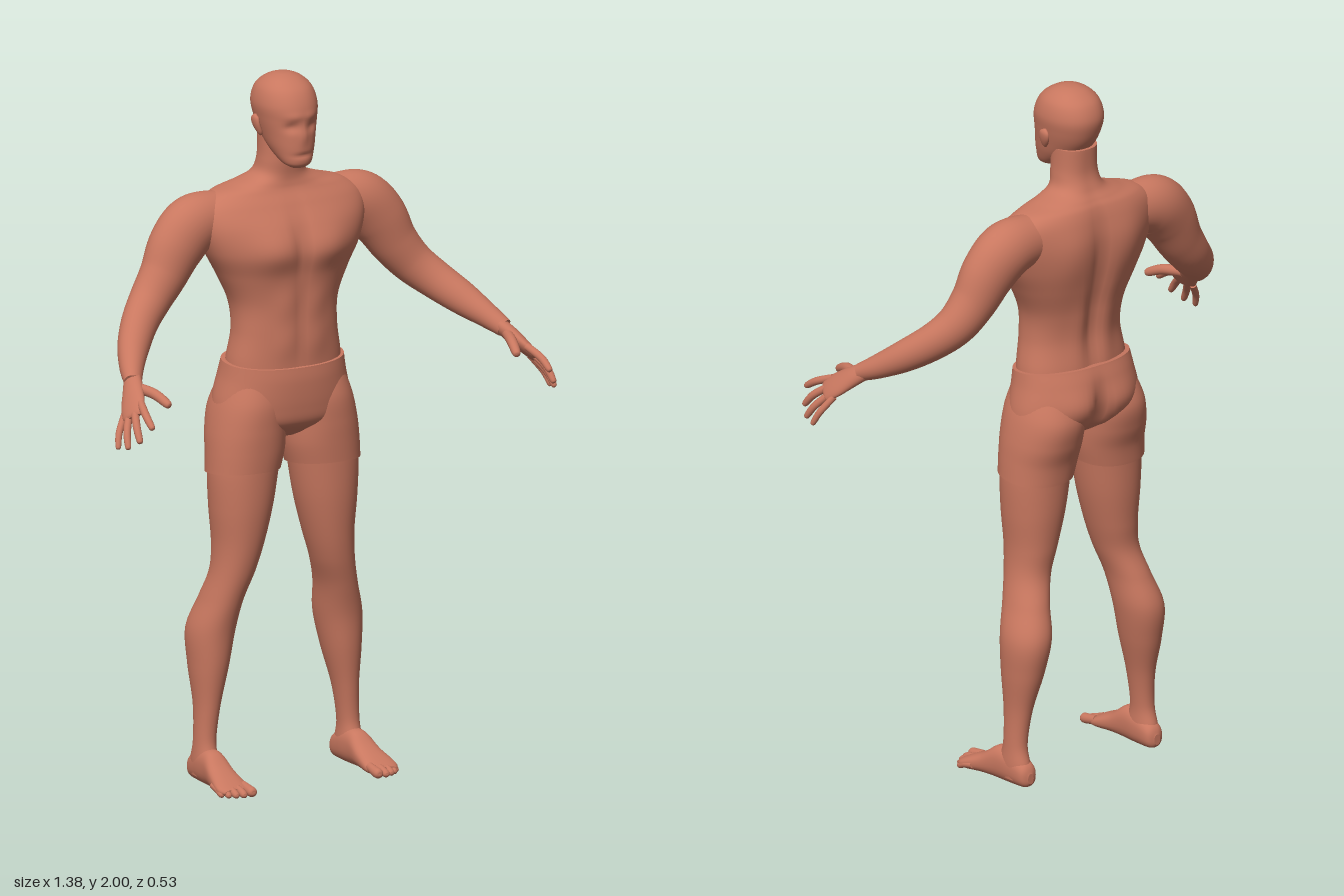
import * as THREE from 'three';

const V = (x, y, z) => new THREE.Vector3(x, y, z);
const skin = new THREE.MeshStandardMaterial({ color: 0xc8775f });
skin.name = 'skin';

// Catmull-Rom blend through rows of numbers
function sample(rows, t) {
  const n = rows.length - 1, i = Math.min(Math.floor(t * n), n - 1), s = t * n - i;
  const a = rows[Math.max(i - 1, 0)], b = rows[i], c = rows[i + 1], d = rows[Math.min(i + 2, n)];
  return b.map((_, k) => b[k] + 0.5 * s * (c[k] - a[k]
    + s * (2 * a[k] - 5 * b[k] + 4 * c[k] - d[k] + s * (3 * (b[k] - c[k]) + d[k] - a[k]))));
}

// Horizontal oval rings; row = [y, centreX, halfWidth, zFront, zBack]
function column(rows, { segs = 48, steps = 8, power = 1, warp } = {}) {
  const rings = [], count = (rows.length - 1) * steps;
  const bend = (v) => Math.sign(v) * Math.abs(v) ** power;
  for (let i = 0; i <= count; i++) {
    const [y, cx, rx, zf, zb] = sample(rows, i / count);
    const ring = [];
    for (let j = 0; j < segs; j++) {
      const a = (j / segs) * Math.PI * 2;
      const p = V(cx + rx * bend(Math.cos(a)), y, (zf + zb) / 2 + (zf - zb) / 2 * bend(Math.sin(a)));
      if (warp) warp(p, Math.max(0, Math.sin(a)), Math.max(0, -Math.sin(a)));
      ring.push(p);
    }
    rings.push(ring);
  }
  return rings;
}

// Oval rings along a path; row = [x, y, z, radius along ref, radius across]
function limb(rows, ref, segs = 32, steps = 8) {
  const rings = [], count = (rows.length - 1) * steps;
  const at = (t) => V(...sample(rows, t).slice(0, 3));
  for (let i = 0; i <= count; i++) {
    const t = i / count, [x, y, z, ru, rv] = sample(rows, t);
    const dir = at(Math.min(1, t + 0.01)).sub(at(Math.max(0, t - 0.01))).normalize();
    const u = ref.clone().addScaledVector(dir, -ref.dot(dir)).normalize();
    const v = dir.clone().cross(u);
    rings.push(Array.from({ length: segs }, (_, j) => {
      const a = (j / segs) * Math.PI * 2;
      return V(x, y, z).addScaledVector(u, ru * Math.cos(a)).addScaledVector(v, rv * Math.sin(a));
    }));
  }
  return rings;
}

// Closed mesh over rings, faces turned outward, with crisp end caps
function cover(name, rings) {
  const n = rings[0].length, pts = rings.flat(), index = [];
  for (let i = 0; i < rings.length - 1; i++) {
    for (let j = 0; j < n; j++) {
      const a = i * n + j, b = i * n + (j + 1) % n;
      index.push(a, a + n, b, b, a + n, b + n);
    }
  }
  [rings[0], rings[rings.length - 1]].forEach((ring, end) => {
    const start = pts.length;
    pts.push(...ring, ring.reduce((s, p) => s.add(p), V(0, 0, 0)).divideScalar(n));
    for (let j = 0; j < n; j++) {
      const a = start + j, b = start + (j + 1) % n;
      index.push(start + n, end ? b : a, end ? a : b);
    }
  });
  let volume = 0;
  for (let k = 0; k < index.length; k += 3) {
    volume += pts[index[k]].dot(pts[index[k + 1]].clone().cross(pts[index[k + 2]]));
  }
  if (volume < 0) index.reverse();
  const geo = new THREE.BufferGeometry().setFromPoints(pts);
  geo.setIndex(index);
  geo.computeVertexNormals();
  const mesh = new THREE.Mesh(geo, skin);
  mesh.name = name;
  return mesh;
}

// Soft mound centred at (cx, cy), mirrored in x
const mound = (p, cx, cy, sx, sy) =>
  Math.exp(-(((Math.abs(p.x) - cx) / sx) ** 2) - ((p.y - cy) / sy) ** 2);

export function createModel() {
  const model = new THREE.Group();
  model.name = 'figure';
  const add = (name, rings) => model.add(cover(name, rings));
  const pair = (name, rings) => {
    add('left' + name, rings);
    add('right' + name, rings.map((r) => r.map((p) => V(-p.x, p.y, p.z))));
  };

  // Torso and neck, with chest, belly line, shoulder blades and spine groove
  add('torso', column([
    [1.14, 0, 0.172, -0.012, -0.225], [1.2, 0, 0.168, -0.012, -0.218], [1.28, 0, 0.155, -0.01, -0.21],
    [1.36, 0, 0.16, -0.01, -0.222], [1.44, 0, 0.195, -0.004, -0.24], [1.51, 0, 0.232, 0.003, -0.25],
    [1.58, 0, 0.255, -0.012, -0.252], [1.635, 0, 0.25, -0.042, -0.245], [1.67, 0, 0.205, -0.065, -0.235],
    [1.69, 0, 0.135, -0.072, -0.222], [1.715, 0, 0.078, -0.074, -0.205], [1.76, 0, 0.064, -0.07, -0.19],
    [1.83, 0, 0.062, -0.07, -0.19],
  ], {
    segs: 72, power: 0.88,
    warp(p, front, back) {
      p.z += front * (0.02 * mound(p, 0.085, 1.52, 0.075, 0.06) - 0.012 * mound(p, 0, 1.54, 0.02, 0.09)
        - 0.005 * mound(p, 0, 1.32, 0.014, 0.12) + 0.006 * mound(p, 0.05, 1.36, 0.035, 0.05)
        + 0.005 * mound(p, 0.05, 1.25, 0.035, 0.05));
      p.z -= back * (0.016 * mound(p, 0.1, 1.56, 0.07, 0.1) - 0.02 * mound(p, 0, 1.42, 0.025, 0.2)
        + 0.006 * mound(p, 0.05, 1.28, 0.03, 0.1));
    },
  }));

  // Head with brow, eye hollows and nose ridge
  add('head', column([
    [1.748, 0, 0.022, -0.012, -0.05], [1.762, 0, 0.042, 0, -0.085], [1.8, 0, 0.06, 0.003, -0.15],
    [1.84, 0, 0.071, 0.002, -0.188], [1.88, 0, 0.08, 0, -0.208], [1.92, 0, 0.085, -0.004, -0.215],
    [1.96, 0, 0.075, -0.024, -0.2], [1.985, 0, 0.052, -0.055, -0.17], [1.997, 0, 0.025, -0.085, -0.14],
    [2, 0, 0.003, -0.108, -0.114],
  ], {
    power: 0.93,
    warp(p, front) {
      p.z += front * (0.006 * mound(p, 0, 1.84, 0.012, 0.025) - 0.01 * mound(p, 0.032, 1.865, 0.018, 0.014)
        + 0.004 * mound(p, 0.025, 1.895, 0.03, 0.012) - 0.005 * mound(p, 0, 1.785, 0.03, 0.007));
    },
  }));
  pair('Ear', limb([
    [0.076, 1.832, -0.1, 0.004, 0.004], [0.081, 1.842, -0.102, 0.011, 0.007],
    [0.088, 1.862, -0.108, 0.018, 0.008], [0.09, 1.88, -0.112, 0.017, 0.008],
    [0.088, 1.89, -0.113, 0.004, 0.003],
  ], V(0, 0, 1), 20, 5));

  // Shorts: seat with waistband edge, then two legs
  add('shortsSeat', column([
    [1.192, 0, 0.18, -0.003, -0.233], [1.15, 0, 0.187, 0, -0.245], [1.08, 0, 0.203, -0.004, -0.25],
    [1.03, 0, 0.2, -0.015, -0.235], [0.995, 0, 0.13, -0.05, -0.2], [0.975, 0, 0.05, -0.08, -0.16],
  ], {
    segs: 72, power: 0.9,
    warp(p, front, back) {
      p.z -= back * (0.018 * mound(p, 0.085, 1.08, 0.07, 0.06) - 0.03 * mound(p, 0, 1.04, 0.022, 0.08));
      p.y -= (p.z + 0.12) * 0.09;
    },
  }));
  pair('ShortsLeg', column([
    [1.14, 0.1, 0.08, -0.03, -0.225], [1.07, 0.106, 0.1, -0.012, -0.252], [1, 0.113, 0.108, -0.011, -0.243],
    [0.94, 0.118, 0.109, -0.014, -0.225], [0.884, 0.126, 0.104, -0.018, -0.217],
  ], { power: 0.92, warp: (p) => { p.y += (p.z + 0.12) * 0.09; } }));

  // Legs from thigh to ankle
  pair('Leg', column([
    [0.96, 0.118, 0.1, -0.022, -0.215], [0.88, 0.127, 0.098, -0.022, -0.21], [0.78, 0.134, 0.087, -0.026, -0.205],
    [0.68, 0.143, 0.07, -0.037, -0.195], [0.6, 0.158, 0.06, -0.05, -0.19], [0.52, 0.181, 0.057, -0.068, -0.216],
    [0.43, 0.201, 0.064, -0.086, -0.244], [0.33, 0.21, 0.053, -0.095, -0.229], [0.22, 0.219, 0.035, -0.108, -0.2],
    [0.12, 0.227, 0.029, -0.113, -0.19], [0.06, 0.228, 0.032, -0.095, -0.205], [0.02, 0.228, 0.03, -0.1, -0.205],
  ], { power: 0.95 }));

  // Feet: rings run heel to toe, then are turned forward
  const foot = column([
    [-0.217, 0.226, 0.01, -0.015, -0.045], [-0.202, 0.226, 0.028, -0.003, -0.07], [-0.15, 0.227, 0.034, 0, -0.095],
    [-0.095, 0.229, 0.036, 0, -0.098], [-0.045, 0.232, 0.042, -0.002, -0.066], [0, 0.235, 0.048, 0, -0.045],
    [0.025, 0.236, 0.047, -0.001, -0.033], [0.042, 0.234, 0.038, -0.006, -0.024],
  ], { segs: 32, power: 0.85 });
  pair('Foot', foot.map((r) => r.map((p) => V(p.x, -p.z, p.y))));
  [[0.2, 0.075, 0.014], [0.225, 0.072, 0.0105], [0.245, 0.064, 0.01], [0.262, 0.052, 0.009], [0.276, 0.036, 0.009]]
    .forEach(([x, tip, r], i) => pair('Toe' + (i + 1), limb([
      [x, 0.024, tip - 0.06, r * 0.8, r * 0.9], [x, 0.018, tip - 0.03, r, r], [x, r + 0.001, tip - 0.01, r, r],
      [x, r, tip - 0.002, r * 0.65, r * 0.6], [x, r, tip, r * 0.1, r * 0.1],
    ], V(1, 0, 0), 16, 4)));

  // Arms from shoulder to wrist
  pair('Arm', limb([
    [0.1, 1.6, -0.155, 0.055, 0.062], [0.19, 1.602, -0.157, 0.066, 0.073], [0.265, 1.588, -0.155, 0.073, 0.084],
    [0.32, 1.535, -0.148, 0.069, 0.082], [0.365, 1.462, -0.14, 0.061, 0.069], [0.415, 1.4, -0.126, 0.055, 0.06],
    [0.466, 1.353, -0.092, 0.049, 0.054], [0.52, 1.305, -0.033, 0.043, 0.047], [0.562, 1.265, 0.03, 0.034, 0.035],
    [0.588, 1.237, 0.082, 0.024, 0.026],
  ], V(0, 0, 1)));

  // Hands: palm, four fingers and thumb
  const spread = V(0.038, -0.04, -0.045);
  pair('Palm', limb([
    [0.576, 1.25, 0.058, 0.024, 0.02], [0.598, 1.222, 0.1, 0.032, 0.021], [0.622, 1.19, 0.142, 0.039, 0.017],
    [0.636, 1.17, 0.168, 0.035, 0.012], [0.64, 1.164, 0.175, 0.026, 0.006],
  ], spread));
  const digit = (name, base, mid, tip, r) => {
    const near = mid.map((m, k) => m + (tip[k] - m) * 0.85);
    pair(name, limb([
      [...base, r, r], [...mid, r, r], [...near, r * 0.8, r * 0.8], [...tip, r * 0.15, r * 0.15],
    ], spread, 16, 6));
  };
  digit('IndexFinger', [0.612, 1.2, 0.168], [0.626, 1.178, 0.222], [0.63, 1.15, 0.267], 0.011);
  digit('MiddleFinger', [0.627, 1.183, 0.16], [0.648, 1.148, 0.208], [0.656, 1.108, 0.243], 0.011);
  digit('RingFinger', [0.637, 1.168, 0.147], [0.664, 1.128, 0.183], [0.676, 1.086, 0.211], 0.0105);
  digit('LittleFinger', [0.642, 1.163, 0.13], [0.672, 1.12, 0.153], [0.686, 1.079, 0.172], 0.0095);
  digit('Thumb', [0.585, 1.226, 0.105], [0.566, 1.219, 0.165], [0.55, 1.196, 0.222], 0.0145);

  return model;
}
